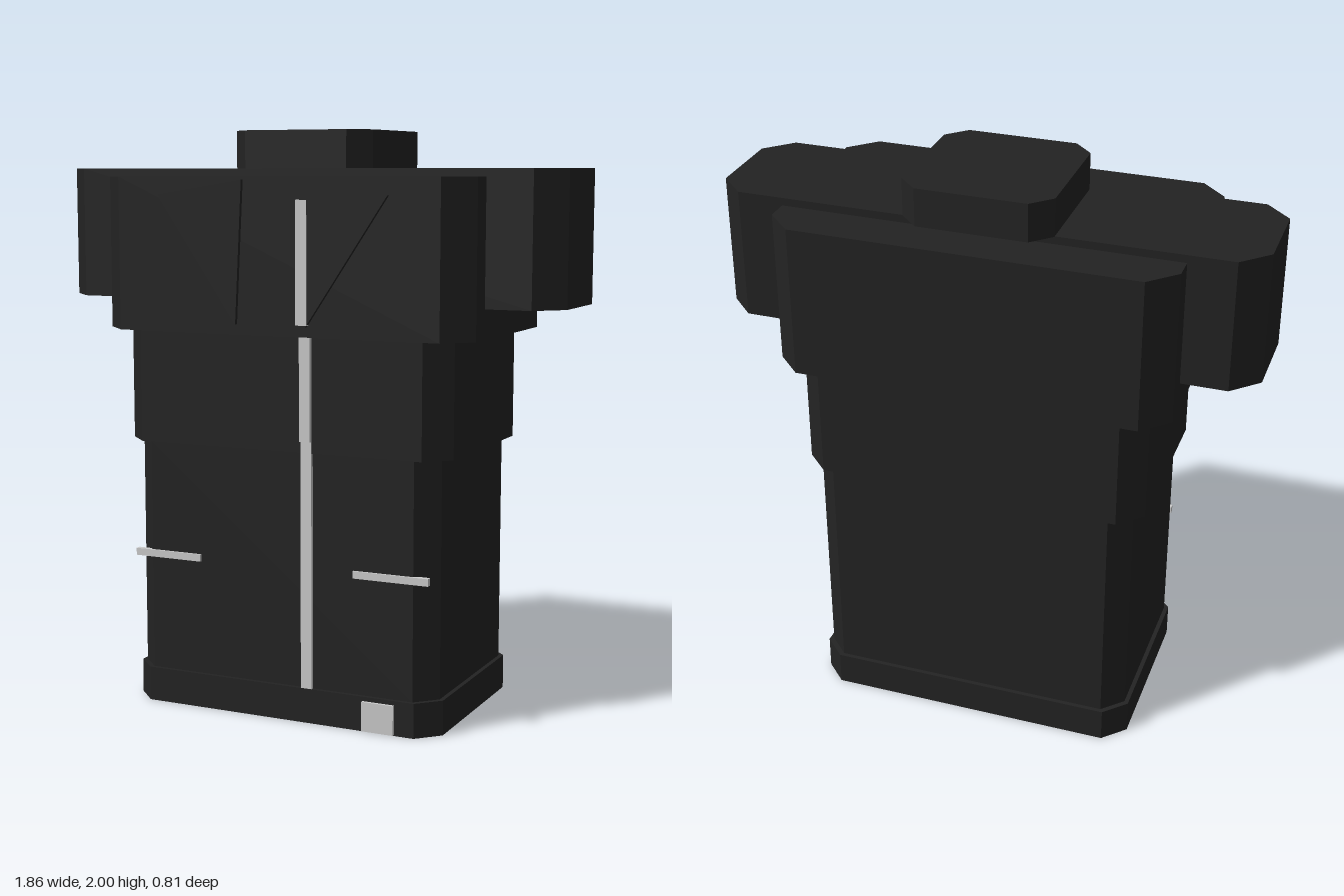
import * as THREE from 'three';

const cloth = new THREE.MeshStandardMaterial({ color: 0x232323 });
cloth.name = 'charcoal cloth';
const trim = new THREE.MeshStandardMaterial({ color: 0xcccccc });
trim.name = 'light grey trim';

// Upright block with its four vertical edges cut off by c
function chamferedBlock(name, halfW, y0, y1, zBack, zFront, c) {
  const s = new THREE.Shape([
    [-halfW + c, -zFront], [halfW - c, -zFront], [halfW, -zFront + c], [halfW, -zBack - c],
    [halfW - c, -zBack], [-halfW + c, -zBack], [-halfW, -zBack - c], [-halfW, -zFront + c],
  ].map(([x, y]) => new THREE.Vector2(x, y)));
  const geo = new THREE.ExtrudeGeometry(s, { depth: y1 - y0, bevelEnabled: false });
  geo.rotateX(-Math.PI / 2).translate(0, y0, 0);
  const mesh = new THREE.Mesh(geo, cloth);
  mesh.name = name;
  return mesh;
}

// Thin bar given by its limits
function bar(name, x0, x1, y0, y1, z0, z1) {
  const mesh = new THREE.Mesh(new THREE.BoxGeometry(x1 - x0, y1 - y0, z1 - z0), trim);
  mesh.position.set((x0 + x1) / 2, (y0 + y1) / 2, (z0 + z1) / 2);
  mesh.name = name;
  return mesh;
}

// Triangular collar flap lying on the chest
function lapel(name, points) {
  const s = new THREE.Shape(points.map(([x, y]) => new THREE.Vector2(x, y)));
  const geo = new THREE.ExtrudeGeometry(s, { depth: 0.016, bevelEnabled: false });
  const mesh = new THREE.Mesh(geo.translate(0, 0, 0.388), cloth);
  mesh.name = name;
  return mesh;
}

export function createModel() {
  const jacket = new THREE.Group();
  jacket.name = 'jacket';

  // Stacked body, shoulders and collar
  jacket.add(
    chamferedBlock('hemBand', 0.58, 0, 0.12, -0.38, 0.37, 0.075),
    chamferedBlock('lowerBody', 0.565, 0.12, 0.93, -0.365, 0.357, 0.07),
    chamferedBlock('waist', 0.605, 0.93, 1.32, -0.378, 0.367, 0.08),
    chamferedBlock('chest', 0.682, 1.32, 1.845, -0.406, 0.39, 0.09),
    chamferedBlock('shortSleeves', 0.93, 1.42, 1.872, -0.237, 0.222, 0.09),
    chamferedBlock('collar', 0.256, 1.87, 2, -0.303, 0.222, 0.067),
  );

  // Collar flaps
  jacket.add(
    lapel('rightLapel', [[-0.43, 1.785], [-0.135, 1.355], [-0.11, 1.835]]),
    lapel('leftLapel', [[0.1, 1.835], [0.125, 1.355], [0.415, 1.785]]),
  );

  // Zip in three lengths, following the steps of the body
  jacket.add(
    bar('lowerZip', 0.09, 0.13, 0.12, 0.97, 0.35, 0.369),
    bar('middleZip', 0.09, 0.13, 0.97, 1.35, 0.36, 0.38),
    bar('upperZip', 0.09, 0.13, 1.36, 1.77, 0.385, 0.407),
  );

  // Pocket openings and hem tag
  jacket.add(
    bar('rightPocket', -0.557, -0.3, 0.52, 0.545, 0.345, 0.365),
    bar('leftPocket', 0.28, 0.55, 0.52, 0.545, 0.345, 0.365),
    bar('hemTag', 0.32, 0.435, 0.003, 0.105, 0.362, 0.38),
  );
  return jacket;
}
